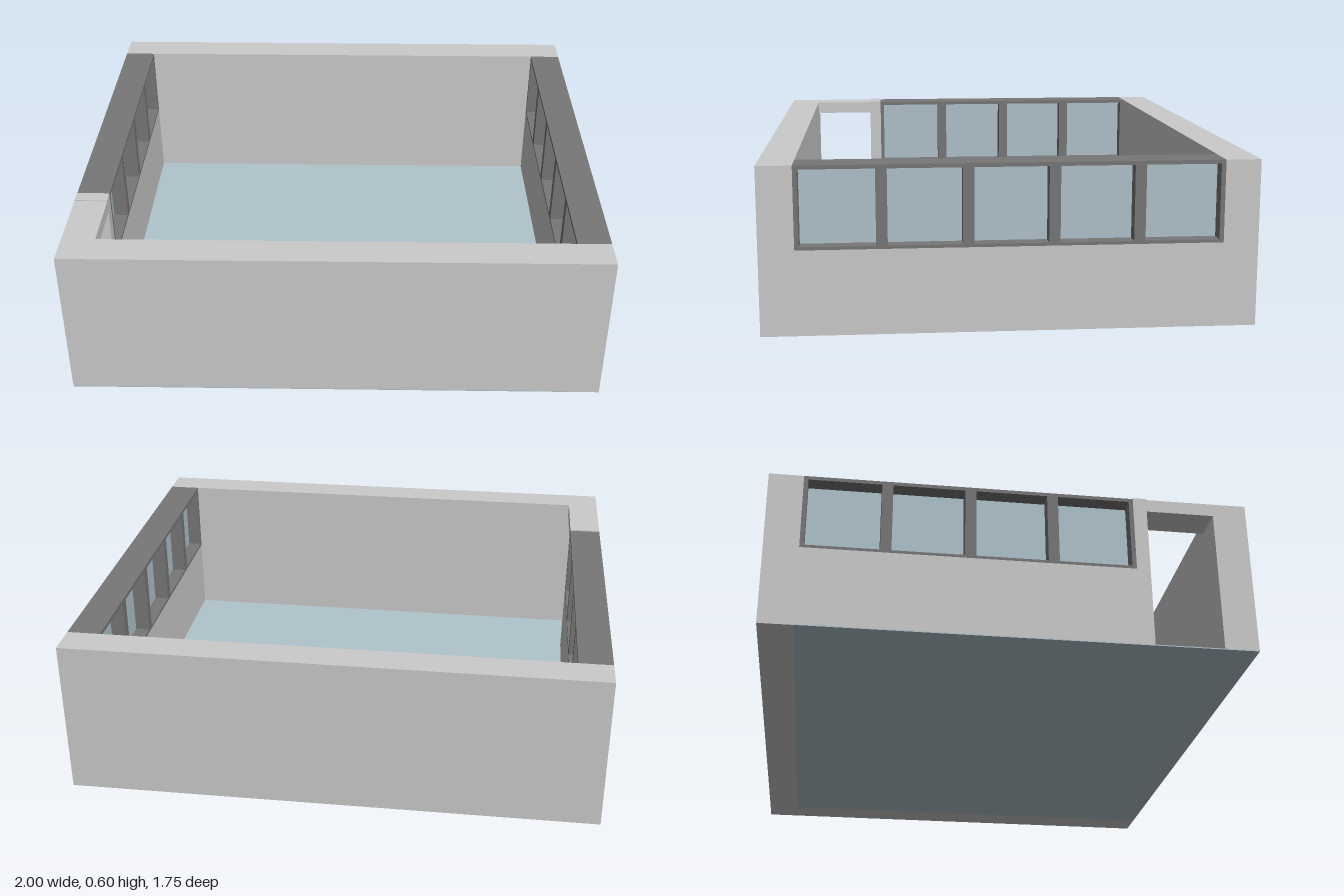
import * as THREE from 'three';

const W = 2, D = 1.75, H = 0.6, T = 0.125;   // footprint, height, wall thickness
const SILL = 0.305, BAY = 0.3, EDGE = 0.016, BAR = 0.04;
const FLOOR = 0.004;

const wallMat = new THREE.MeshStandardMaterial({ color: 0xcccccc });
const frameMat = new THREE.MeshStandardMaterial({ color: 0x777777 });
const glassMat = new THREE.MeshStandardMaterial({ color: 0xb0c3cc });

// Box given by its lower and upper corners
function block(parent, name, mat, [x0, y0, z0], [x1, y1, z1]) {
  const mesh = new THREE.Mesh(new THREE.BoxGeometry(x1 - x0, y1 - y0, z1 - z0), mat);
  mesh.position.set((x0 + x1) / 2, (y0 + y1) / 2, (z0 + z1) / 2);
  mesh.name = name;
  parent.add(mesh);
}

// Row of framed panes running along z, centred on the wall at x
function windowRow(name, x, zStart, count) {
  const row = new THREE.Group();
  row.name = name;
  const zEnd = zStart + count * BAY;
  const a = x - T / 2, b = x + T / 2;
  const y0 = SILL + 0.011, y1 = H - 0.014;
  block(row, 'windowSill', frameMat, [a, SILL, zStart], [b, y0, zEnd]);
  block(row, 'windowHead', frameMat, [a, y1, zStart], [b, H, zEnd]);
  for (let i = 0; i <= count; i++) {
    const z = zStart + i * BAY;
    const lo = i === 0 ? z : z - BAR / 2 + (i === count ? BAR / 2 - EDGE : 0);
    const hi = i === count ? z : z + (i === 0 ? EDGE : BAR / 2);
    block(row, 'mullion', frameMat, [a, y0, lo], [b, y1, hi]);
    if (i < count) {
      block(row, 'pane', glassMat, [x - 0.006, y0, z + EDGE / 2], [x + 0.006, y1, z + BAY - EDGE / 2]);
    }
  }
  return row;
}

export function createModel() {
  const room = new THREE.Group();
  room.name = 'room';
  const X = W / 2, Z = D / 2, xi = X - T, zi = Z - T;

  // Floor slab, running out under the front wall and the doorway
  block(room, 'floor', glassMat, [-X, 0, -zi], [xi, FLOOR, Z]);

  // Solid end walls
  block(room, 'frontWall', wallMat, [-X, FLOOR, zi], [X, H, Z]);
  block(room, 'frontWallCorner', wallMat, [xi, 0, zi], [X, FLOOR, Z]);
  block(room, 'backWall', wallMat, [-X, 0, -Z], [X, H, -zi]);

  // Wall with five windows
  block(room, 'leftWallBase', wallMat, [xi, 0, -zi], [X, SILL, zi]);
  room.add(windowRow('leftWindows', X - T / 2, -zi, 5));

  // Wall with four windows and a doorway
  const zWin = -zi + 4 * BAY, zDoor = 0.5, doorTop = 0.55;
  block(room, 'rightWallBase', wallMat, [-X, FLOOR, -zi], [-xi, SILL, zWin]);
  room.add(windowRow('rightWindows', -X + T / 2, -zi, 4));
  block(room, 'doorPost', wallMat, [-X, FLOOR, zWin], [-xi, H + 0.004, zDoor]);
  block(room, 'doorLintel', wallMat, [-X, doorTop, zDoor], [-xi, H, zi]);

  return room;
}
